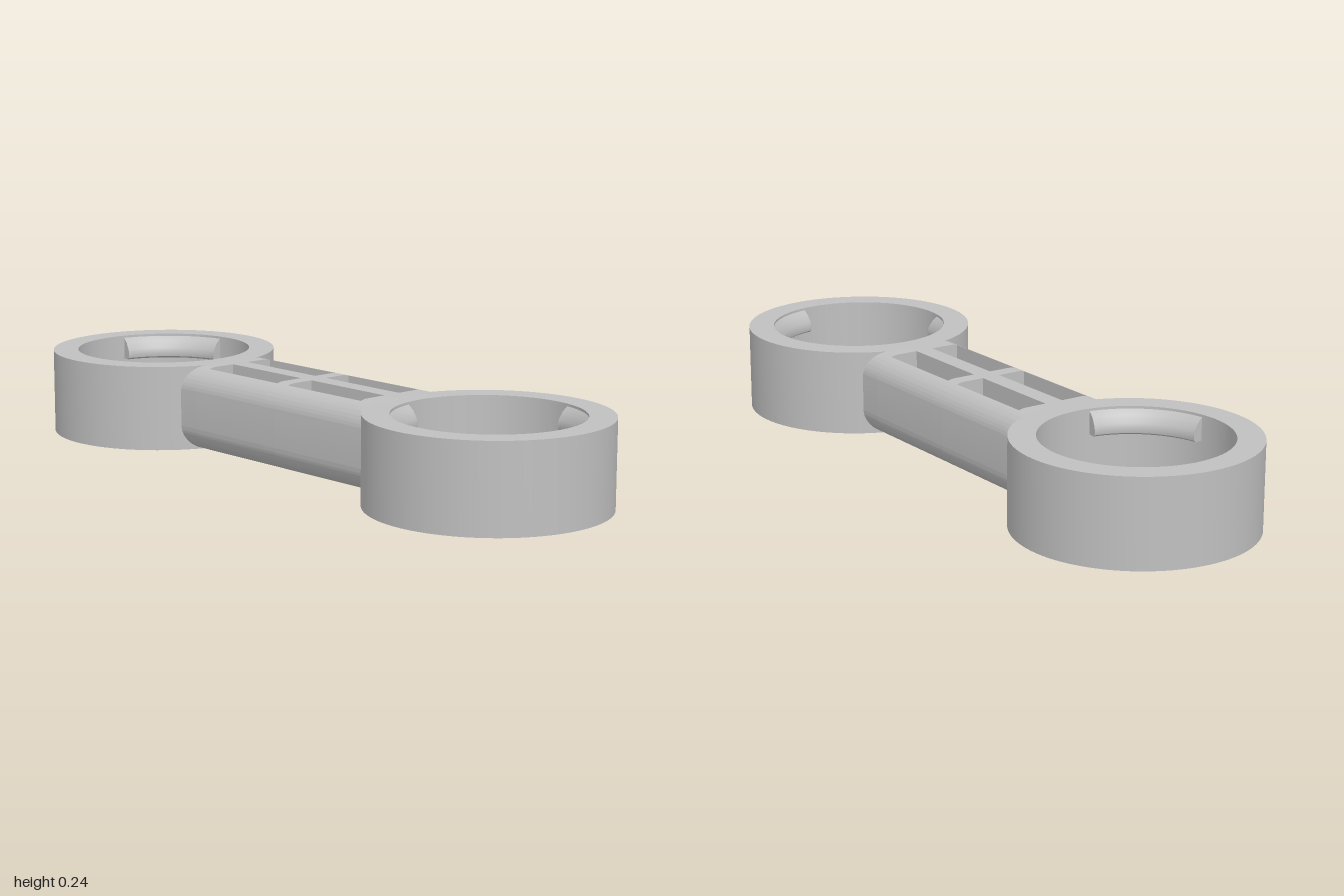
import * as THREE from 'three';
import { toCreasedNormals } from 'three/addons/utils/BufferGeometryUtils.js';

const H = 0.243;          // overall height
const RING_X = 0.672, R_OUT = 0.328, R_IN = 0.255;
const HALF_W = 0.163, CORNER = 0.073;   // bar cross-section
const SLOT_IN = 0.027, SLOT_OUT = 0.113, WEB = 0.02;

const material = new THREE.MeshStandardMaterial({ color: 0xc0c0c0 });
material.name = 'light grey';

function addMesh(parent, name, geometry) {
  const mesh = new THREE.Mesh(toCreasedNormals(geometry, 0.5), material);
  mesh.name = name;
  parent.add(mesh);
  return mesh;
}

// Plain ring standing on y = 0
function ringGeometry() {
  const shape = new THREE.Shape().absarc(0, 0, R_OUT, 0, Math.PI * 2);
  shape.holes.push(new THREE.Path().absarc(0, 0, R_IN, 0, Math.PI * 2, true));
  return new THREE.ExtrudeGeometry(shape, { depth: H, bevelEnabled: false, curveSegments: 72 })
    .rotateX(-Math.PI / 2);
}

// Snap tab: wedge profile (radius, height) bent around the ring's axis
function tabGeometry(angle, atTop) {
  let profile = [[0.262, 0.172], [0.262, 0.236], [0.255, 0.236], [0.24, 0.223],
    [0.228, 0.203], [0.224, 0.188], [0.226, 0.177], [0.233, 0.172]];
  if (!atTop) profile = profile.map(([r, y]) => [r, H - y]);
  const shape = new THREE.Shape(profile.map(([r, y]) => new THREE.Vector2(r, y)));
  const span = THREE.MathUtils.degToRad(71);
  const geo = new THREE.ExtrudeGeometry(shape, { depth: span, steps: 20, bevelEnabled: false });
  const pos = geo.attributes.position;
  for (let i = 0; i < pos.count; i++) {
    const r = pos.getX(i), a = angle - span / 2 + pos.getZ(i);
    pos.setXYZ(i, r * Math.cos(a), pos.getY(i), r * Math.sin(a));
  }
  return geo;
}

// Rounded bar section; the slotted one has two grooves above and below a web
function barSection(slotted) {
  const s = new THREE.Shape();
  const flat = HALF_W - CORNER, c = CORNER;
  if (!slotted) {
    s.absarc(flat, c, c, -Math.PI / 2, 0);
    s.absarc(flat, H - c, c, 0, Math.PI / 2);
    s.absarc(-flat, H - c, c, Math.PI / 2, Math.PI);
    s.absarc(-flat, c, c, Math.PI, Math.PI * 1.5);
    return s;
  }
  // Angle at which the groove's outer wall meets the rounded edge
  const cut = Math.acos((SLOT_OUT - flat) / c);
  const lo = H / 2 - WEB, hi = H / 2 + WEB;
  s.absarc(flat, c, c, -cut, 0);
  s.absarc(flat, H - c, c, 0, cut);
  for (const [x, y] of [[SLOT_OUT, hi], [SLOT_IN, hi], [SLOT_IN, H],
    [-SLOT_IN, H], [-SLOT_IN, hi], [-SLOT_OUT, hi]]) s.lineTo(x, y);
  s.absarc(-flat, H - c, c, Math.PI - cut, Math.PI);
  s.absarc(-flat, c, c, Math.PI, Math.PI + cut);
  for (const [x, y] of [[-SLOT_OUT, lo], [-SLOT_IN, lo], [-SLOT_IN, 0],
    [SLOT_IN, 0], [SLOT_IN, lo], [SLOT_OUT, lo]]) s.lineTo(x, y);
  s.closePath();
  return s;
}

function barGeometry(x0, x1, slotted) {
  return new THREE.ExtrudeGeometry(barSection(slotted),
    { depth: x1 - x0, bevelEnabled: false, curveSegments: 14 })
    .rotateY(Math.PI / 2).translate(x0, 0, 0);
}

export function createModel() {
  const model = new THREE.Group();
  model.name = 'doubleRingLink';

  // End rings, each with four tabs alternating between top and bottom
  for (const side of [-1, 1]) {
    const end = new THREE.Group();
    end.name = side > 0 ? 'leftRingEnd' : 'rightRingEnd';
    end.position.x = side * RING_X;
    model.add(end);
    addMesh(end, 'ring', ringGeometry());
    for (let i = 0; i < 4; i++) {
      const atTop = (i % 2 === 0) === (side < 0);
      addMesh(end, atTop ? 'upperTab' : 'lowerTab', tabGeometry(Math.PI / 4 + i * Math.PI / 2, atTop));
    }
  }

  // Connecting bar: solid ends and centre rib, pocketed spans between
  const bar = new THREE.Group();
  bar.name = 'connectingBar';
  model.add(bar);
  addMesh(bar, 'barEnd', barGeometry(-0.405, -0.317, false));
  addMesh(bar, 'pocketSpan', barGeometry(-0.317, -0.024, true));
  addMesh(bar, 'centreRib', barGeometry(-0.024, 0.02, false));
  addMesh(bar, 'pocketSpan', barGeometry(0.02, 0.312, true));
  addMesh(bar, 'barEnd', barGeometry(0.312, 0.405, false));

  return model;
}
